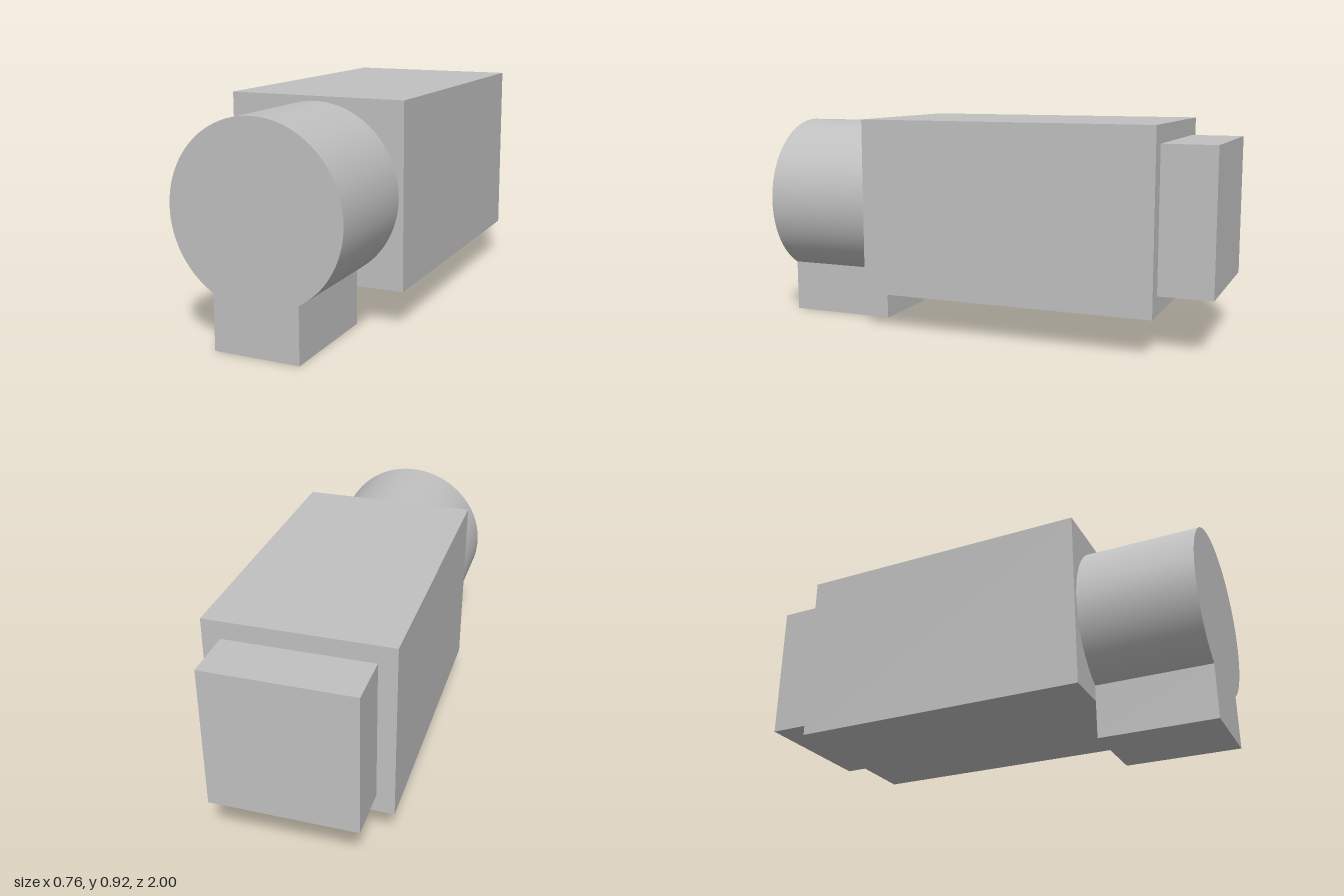
import * as THREE from 'three';
import { toCreasedNormals } from 'three/addons/utils/BufferGeometryUtils.js';

export function createModel() {
  const model = new THREE.Group();
  const grey = new THREE.MeshStandardMaterial({ color: 0xc0c0c0 });
  grey.name = 'light grey';

  const add = (name, geometry) => {
    const mesh = new THREE.Mesh(geometry, grey);
    mesh.name = name;
    model.add(mesh);
  };

  // Box given by its width, vertical range and depth range
  const block = (name, width, y0, y1, z0, z1) => {
    const geometry = new THREE.BoxGeometry(width, y1 - y0, z1 - z0);
    geometry.translate(0, (y0 + y1) / 2, (z0 + z1) / 2);
    add(name, geometry);
  };

  block('mainBody', 0.76, 0.16, 0.92, -0.775, 0.512);
  block('rearBlock', 0.61, 0.24, 0.845, -1, -0.775);

  // Round front housing flowing into a square foot: one keyhole outline
  const radius = 0.36, centreY = 0.54, footHalf = 0.18;
  const gap = Math.asin(footHalf / radius);
  const outline = new THREE.Shape();
  outline.moveTo(-footHalf, 0);
  outline.lineTo(footHalf, 0);
  outline.absarc(0, centreY, radius, -Math.PI / 2 + gap, Math.PI * 1.5 - gap, false);
  outline.closePath();
  const housing = new THREE.ExtrudeGeometry(outline, {
    depth: 0.488, bevelEnabled: false, curveSegments: 48,
  });
  housing.translate(0, 0, 0.512);
  add('frontHousing', toCreasedNormals(housing, 0.5));

  return model;
}
